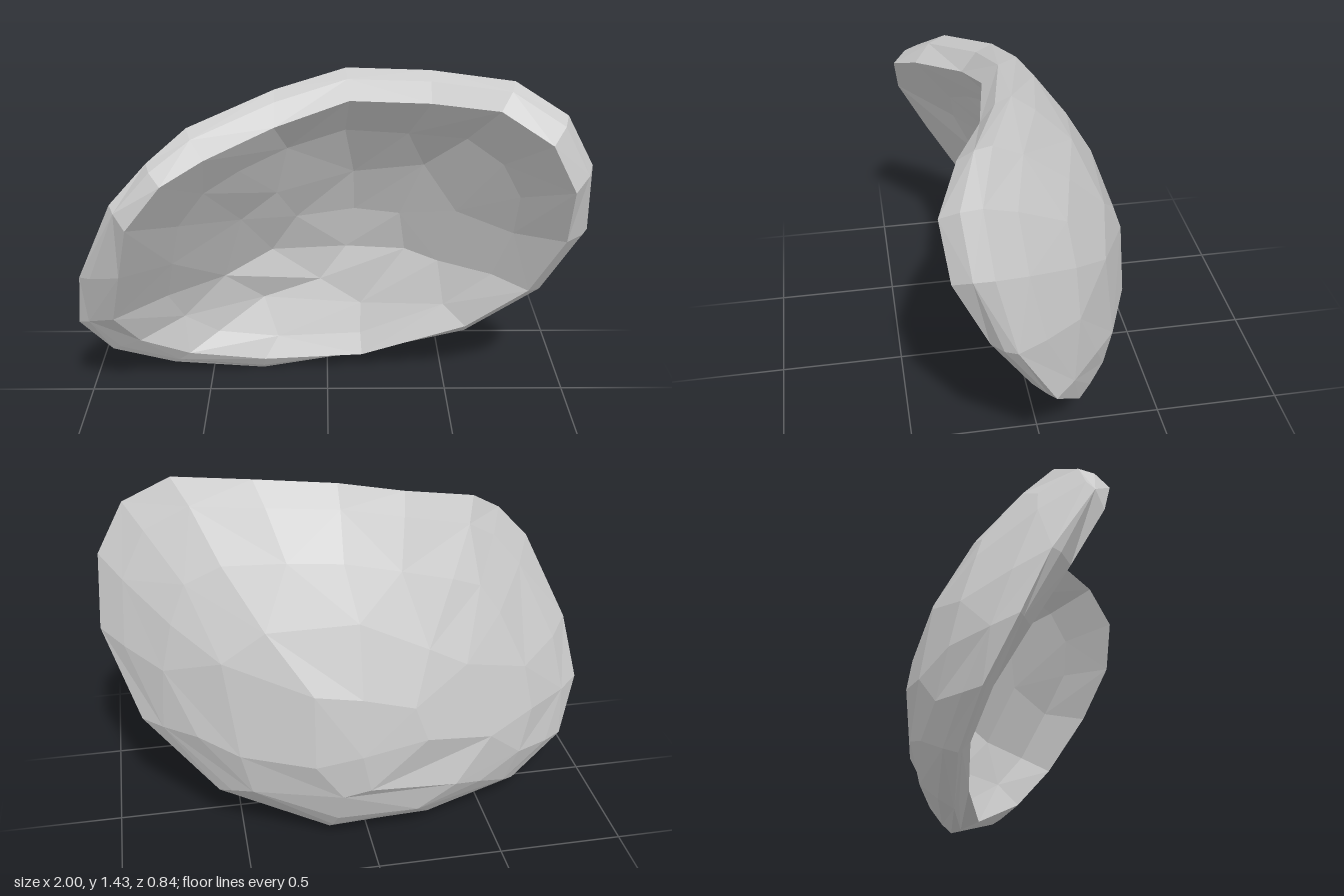
import * as THREE from 'three';

// Front lip and widest outline of the shell: matching loops, clockwise from the right side
const lip = [
  [-0.86, 0.42, 0.15], [-0.8, 0.67, 0.28], [-0.74, 0.92, 0.4], [-0.6, 1.1, 0.42], [-0.45, 1.17, 0.34], [-0.2, 1.24, 0.18],
  [0.08, 1.33, 0.14], [0.38, 1.335, 0.19], [0.62, 1.34, 0.3], [0.8, 1.24, 0.385], [0.9, 1.05, 0.36], [0.91, 0.8, 0.24],
  [0.81, 0.51, 0.08], [0.58, 0.28, -0.04], [0.15, 0.08, -0.15], [-0.27, 0.07, -0.13], [-0.59, 0.13, -0.08], [-0.78, 0.25, 0.02],
];
const outline = [
  [-1, 0.4, 0.13], [-0.96, 0.65, 0.23], [-0.8, 1, 0.34], [-0.66, 1.15, 0.31], [-0.52, 1.25, 0.21], [-0.2, 1.35, 0.06],
  [0.07, 1.42, 0.01], [0.38, 1.43, 0.08], [0.68, 1.42, 0.19], [0.87, 1.31, 0.25], [0.98, 1.11, 0.23], [1, 0.82, 0.16],
  [0.87, 0.48, 0], [0.59, 0.2, -0.15], [0.16, 0.04, -0.26], [-0.28, 0, -0.18], [-0.66, 0.07, -0.11], [-0.9, 0.2, 0],
];

// Dishes the two skins follow: deepest point, sideways curvature on each half, and how fast the edge settles into it
const innerDish = { centre: [0.08, 0.55, -0.27], right: 0.5, left: 0.5, settle: 1.2 };
const backDish = { centre: [0.05, 0.47, -0.42], right: 0.45, left: 0.59, settle: 5 };
const mix = THREE.MathUtils.lerp;

// Seeded noise for the hand-cut facets
let seed = 7;
const noise = (a) => {
  seed = (seed * 16807) % 2147483647;
  return (seed / 2147483647 - 0.5) * 2 * a;
};

// Depth of a tilted dish
function depth(x, y, dish) {
  const u = x - dish.centre[0];
  const v = y - dish.centre[1] - 0.2 * u;
  return dish.centre[2] + (u > 0 ? dish.left : dish.right) * u * u + 0.5 * v * v;
}

// Ring drawn in from a loop towards the dish centre; every `step` points share one corner
function dishRing(loop, dish, t, step) {
  const ring = loop.map((p) => {
    const x = mix(p[0], dish.centre[0], t) + noise(0.07) * t;
    const y = mix(p[1], dish.centre[1], t) + noise(0.07) * t;
    const edge = p[2] - depth(p[0], p[1], dish);
    return [x, y, depth(x, y, dish) + edge * Math.pow(1 - t, dish.settle)];
  });
  return ring.map((p, i) => ring[i - (i % step)]);
}

// Faceted skin over rings running from the front to the back, with optional end points
function skin(rings, startPoint, endPoint) {
  const pos = [];
  const tri = (a, b, c) => {
    if (a !== b && b !== c && c !== a) pos.push(...a, ...b, ...c);
  };
  const n = rings[0].length;
  const last = rings[rings.length - 1];
  for (let i = 0; i < n; i++) {
    const j = (i + 1) % n;
    if (startPoint) tri(startPoint, rings[0][j], rings[0][i]);
    for (let r = 0; r < rings.length - 1; r++) {
      const a = rings[r][i], b = rings[r][j], c = rings[r + 1][j], d = rings[r + 1][i];
      if ((i + r) % 2) { tri(a, b, c); tri(a, c, d); }
      else { tri(a, b, d); tri(b, c, d); }
    }
    if (endPoint) tri(last[i], last[j], endPoint);
  }
  const geo = new THREE.BufferGeometry();
  geo.setAttribute('position', new THREE.Float32BufferAttribute(pos, 3));
  geo.computeVertexNormals();
  return geo;
}

export function createModel() {
  const grey = new THREE.MeshStandardMaterial({ color: 0xcccccc });
  grey.name = 'pale grey';
  const group = new THREE.Group();
  group.name = 'hollowShell';
  const add = (name, geo) => {
    const mesh = new THREE.Mesh(geo, grey);
    mesh.name = name;
    group.add(mesh);
  };

  // Hollow front
  const inner = [[0.72, 3], [0.46, 2], [0.2, 1]].map(([t, step]) => dishRing(lip, innerDish, t, step));
  add('innerBowl', skin([...inner, lip], innerDish.centre, null));

  // Bevelled lip: two bands with a ridge between, nearly flat along the bottom
  const ridge = lip.map((p, i) => {
    const q = outline[i];
    return [mix(p[0], q[0], 0.72), mix(p[1], q[1], 0.72), mix(p[2], q[2], p[1] > 0.6 ? 0.48 : 0.66)];
  });
  add('rim', skin([lip, ridge, outline], null, null));

  // Rounded back
  const back = [[0.09, 1], [0.26, 1], [0.48, 2], [0.74, 3]].map(([t, step]) => dishRing(outline, backDish, t, step));
  add('outerShell', skin([outline, ...back], null, backDish.centre));

  return group;
}
